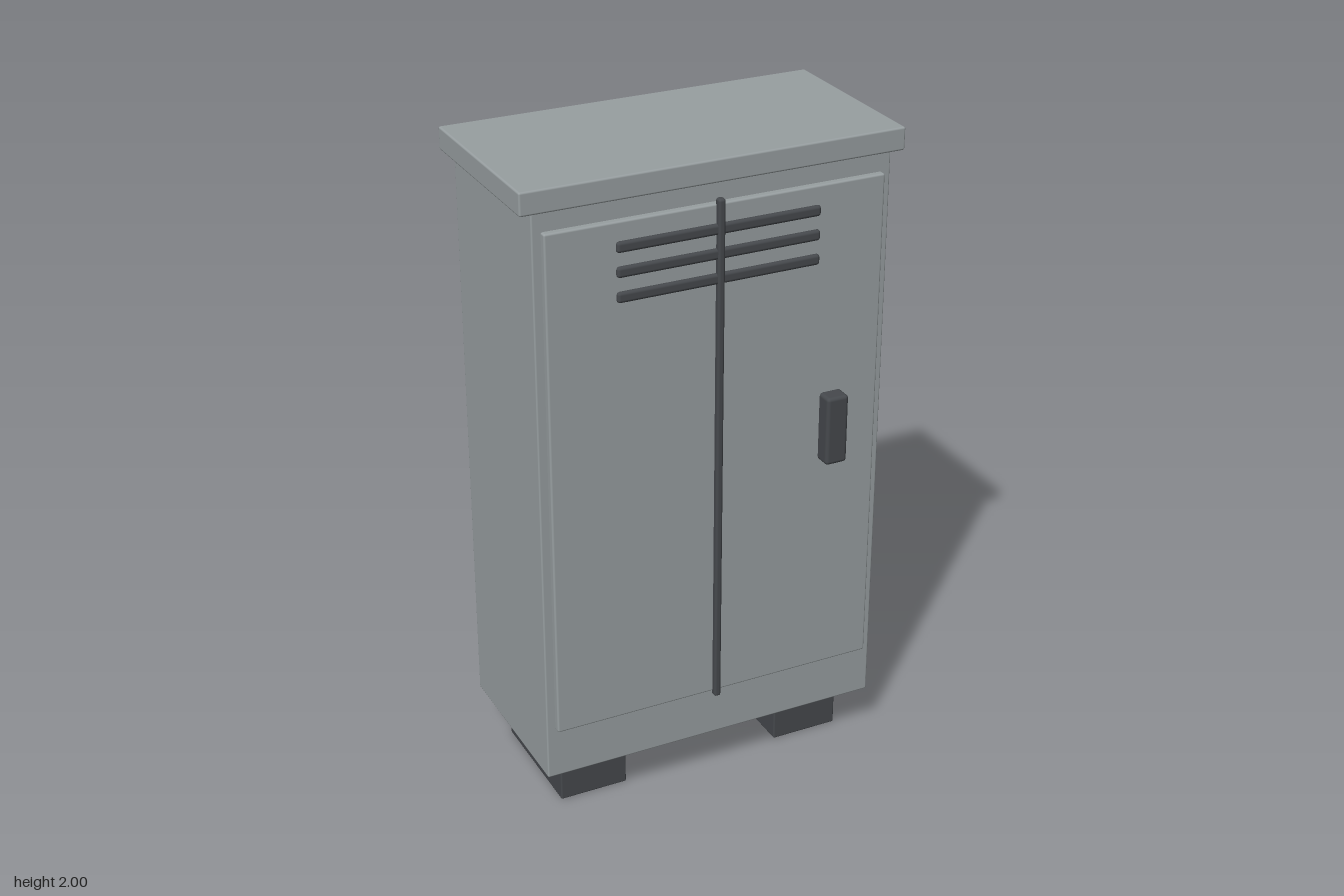
import * as THREE from 'three';
import { RoundedBoxGeometry } from 'three/addons/geometries/RoundedBoxGeometry.js';

export function createModel() {
  const cabinet = new THREE.Group();
  cabinet.name = 'cabinet';

  const grey = new THREE.MeshStandardMaterial({ color: 0x989fa1 });
  grey.name = 'grey paint';
  const dark = new THREE.MeshStandardMaterial({ color: 0x46494d });
  dark.name = 'dark metal';

  // Softly bevelled box given by its lower and upper limits on each axis
  function box(name, material, [x0, x1], [y0, y1], [z0, z1], bevel) {
    const geometry = new RoundedBoxGeometry(x1 - x0, y1 - y0, z1 - z0, 2, bevel);
    const mesh = new THREE.Mesh(geometry, material);
    mesh.name = name;
    mesh.position.set((x0 + x1) / 2, (y0 + y1) / 2, (z0 + z1) / 2);
    cabinet.add(mesh);
  }

  // Cabinet shell and overhanging lid
  box('body', grey, [-0.543, 0.543], [0.15, 1.94], [-0.3, 0.247], 0.005);
  box('lid', grey, [-0.58, 0.58], [1.932, 2], [-0.317, 0.261], 0.006);

  // Raised door panel with the dark seam down its middle
  box('doorPanel', grey, [-0.516, 0.516], [0.314, 1.876], [0.235, 0.267], 0.006);
  box('doorSeam', dark, [-0.011, 0.011], [0.3, 1.893], [0.258, 0.283], 0.008);

  // Ventilation slats
  for (const y of [1.804, 1.732, 1.659]) {
    box('ventSlat', dark, [-0.31, 0.31], [y - 0.016, y + 0.016], [0.255, 0.278], 0.009);
  }

  // Door handle
  box('handle', dark, [0.328, 0.398], [1.022, 1.238], [0.257, 0.317], 0.011);

  // Pair of feet
  for (const side of [-1, 1]) {
    const x = side * 0.364;
    box(side > 0 ? 'leftFoot' : 'rightFoot', dark, [x - 0.108, x + 0.108], [0, 0.16], [-0.227, 0.173], 0.005);
  }

  return cabinet;
}
